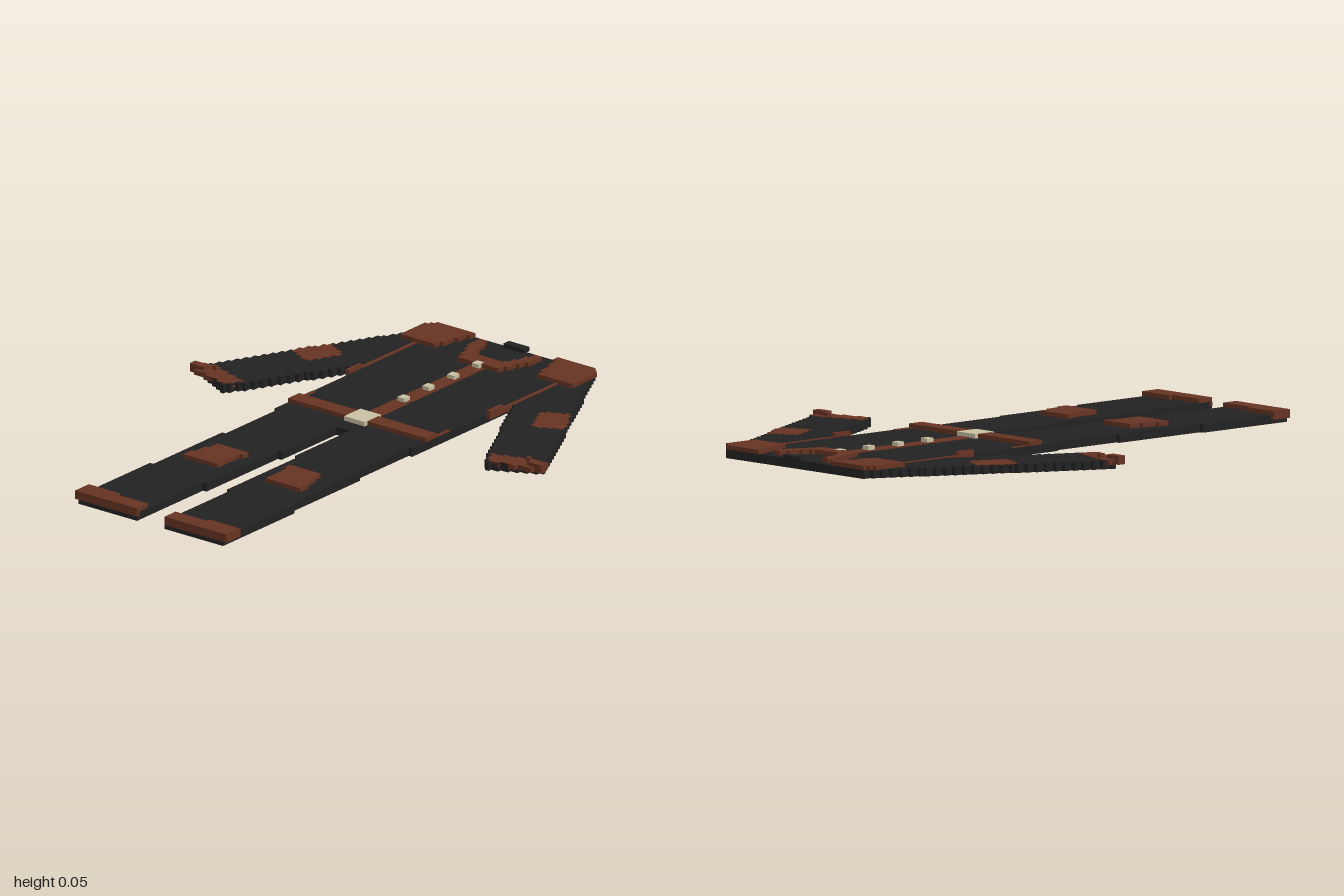
import * as THREE from 'three';
import { mergeGeometries } from 'three/addons/utils/BufferGeometryUtils.js';

const V = 1 / 67; // voxel size

// Fill an outline of [x, z] points with voxel rows; equal neighbouring rows share a box.
function voxelFill(outline, y0, y1) {
  const runs = [];
  let open = [];
  for (let k = -67; k <= 66; k++) {
    const z = (k + 0.5) * V;
    const hits = [];
    outline.forEach(([ax, az], i) => {
      const [bx, bz] = outline[(i + 1) % outline.length];
      if ((az > z) !== (bz > z)) hits.push(ax + ((z - az) / (bz - az)) * (bx - ax));
    });
    hits.sort((a, b) => a - b);
    const next = [];
    for (let i = 0; i + 1 < hits.length; i += 2) {
      const a = Math.round(hits[i] / V), b = Math.round(hits[i + 1] / V);
      if (b <= a) continue;
      let run = open.find((r) => r.a === a && r.b === b);
      if (run) run.k1 = k + 1;
      else runs.push((run = { a, b, k0: k, k1: k + 1 }));
      next.push(run);
    }
    open = next;
  }
  return mergeGeometries(runs.map(({ a, b, k0, k1 }) =>
    new THREE.BoxGeometry((b - a) * V, y1 - y0, (k1 - k0) * V)
      .translate(((a + b) / 2) * V, (y0 + y1) / 2, ((k0 + k1) / 2) * V)));
}

const rect = (x0, x1, z0, z1) => [[x0, z0], [x1, z0], [x1, z1], [x0, z1]];

export function createModel() {
  const group = new THREE.Group();
  const material = (name, color) => {
    const m = new THREE.MeshStandardMaterial({ color });
    m.name = name;
    return m;
  };
  const cloth = material('blackCloth', 0x222222);
  const leather = material('brownLeather', 0x663322);
  const metal = material('paleMetal', 0xc8bfa2);

  const TOP = 2 * V, RAISED = 3 * V, FLUSH = TOP + 0.002;
  const add = (name, mat, outline, y0, y1) => {
    const mesh = new THREE.Mesh(voxelFill(outline, y0, y1), mat);
    mesh.name = name;
    group.add(mesh);
  };
  const addPair = (name, mat, outline, y0, y1) => {
    add(name + 'Left', mat, outline, y0, y1);
    add(name + 'Right', mat, outline.map(([x, z]) => [-x, z]), y0, y1);
  };

  // Cloth body, sleeves and stepped legs
  add('torso', cloth, rect(-0.3, 0.3, -0.985, -0.045), 0, TOP);
  addPair('sleeve', cloth,
    [[0.28, -0.985], [0.335, -0.985], [0.75, -0.195], [0.565, -0.105], [0.3, -0.6], [0.28, -0.6]], 0, TOP);
  addPair('leg', cloth, [
    [0.03, -0.045], [0.285, -0.045], [0.285, 0.245], [0.3, 0.245], [0.3, 0.605], [0.315, 0.605],
    [0.315, 1], [0.06, 1], [0.06, 0.635], [0.045, 0.635], [0.045, 0.26], [0.03, 0.26],
  ], 0, TOP);
  add('neckTab', cloth, rect(-0.045, 0.045, -1, -0.97), TOP, RAISED);

  // Raised shoulder pads, collar and belt
  addPair('shoulderPad', leather,
    [[0.18, -0.985], [0.33, -0.985], [0.375, -0.94], [0.372, -0.82], [0.225, -0.82]], TOP, RAISED);
  add('collar', leather, [
    [-0.13, -0.955], [-0.1, -0.955], [-0.095, -0.895], [-0.055, -0.83], [0.055, -0.83], [0.095, -0.895],
    [0.1, -0.955], [0.13, -0.955], [0.13, -0.885], [0.08, -0.775], [-0.08, -0.775], [-0.13, -0.885],
  ], TOP, RAISED);
  add('belt', leather, rect(-0.3, 0.3, -0.18, -0.12), TOP, RAISED);
  addPair('beltLoop', leather, rect(0.285, 0.3, -0.25, -0.18), TOP - V, FLUSH);

  // Button strip, buttons and buckle
  add('placket', leather, rect(-0.03, 0.03, -0.78, -0.18), TOP, FLUSH);
  for (const z of [-0.776, -0.642, -0.507, -0.373])
    add('button', metal, rect(-V, V, z - V, z + V), TOP, RAISED + 0.001);
  add('buckle', metal, rect(-0.045, 0.045, -0.194, -0.104), TOP, RAISED + 0.001);

  // Side seams, raised at their lower ends
  addPair('sideSeam', leather, rect(0.3, 0.315, -0.82, -0.45), TOP - V, FLUSH);
  addPair('sideSeamEnd', leather, rect(0.3, 0.315, -0.515, -0.45), TOP, RAISED);

  // Elbow and knee patches
  addPair('elbowPatch', leather,
    [[0.525, -0.625], [0.425, -0.58], [0.49, -0.45], [0.59, -0.505]], TOP, FLUSH);
  addPair('kneePatch', leather,
    [[0.095, 0.365], [0.225, 0.365], [0.255, 0.51], [0.105, 0.51]], TOP, RAISED);

  // Sleeve cuffs with raised outer corners
  addPair('sleeveCuff', leather,
    [[0.7, -0.225], [0.745, -0.225], [0.765, -0.165], [0.57, -0.115], [0.54, -0.175]], TOP - V, FLUSH);
  addPair('cuffCorner', leather, rect(0.705, 0.765, -0.194, -0.164), TOP, RAISED);
  addPair('cuffNub', leather, rect(0.67, 0.69, -0.21, -0.194), TOP, RAISED);

  // Trouser cuffs
  addPair('trouserCuff', leather,
    [[0.06, 0.94], [0.195, 0.94], [0.195, 0.925], [0.33, 0.925], [0.33, 1], [0.06, 1]], TOP, RAISED);
  addPair('trouserCuffEdge', leather, rect(0.315, 0.33, 0.925, 1), V, TOP);
  addPair('trouserCuffFront', leather, rect(0.06, 0.33, 0.985, 1).map(([x, z]) => [x, z]), V, TOP);
  // Let the front cuff faces sit just proud of the cloth
  group.children.filter((m) => m.name.startsWith('trouserCuffFront')).forEach((m) => (m.position.z = 0.001));

  return group;
}
